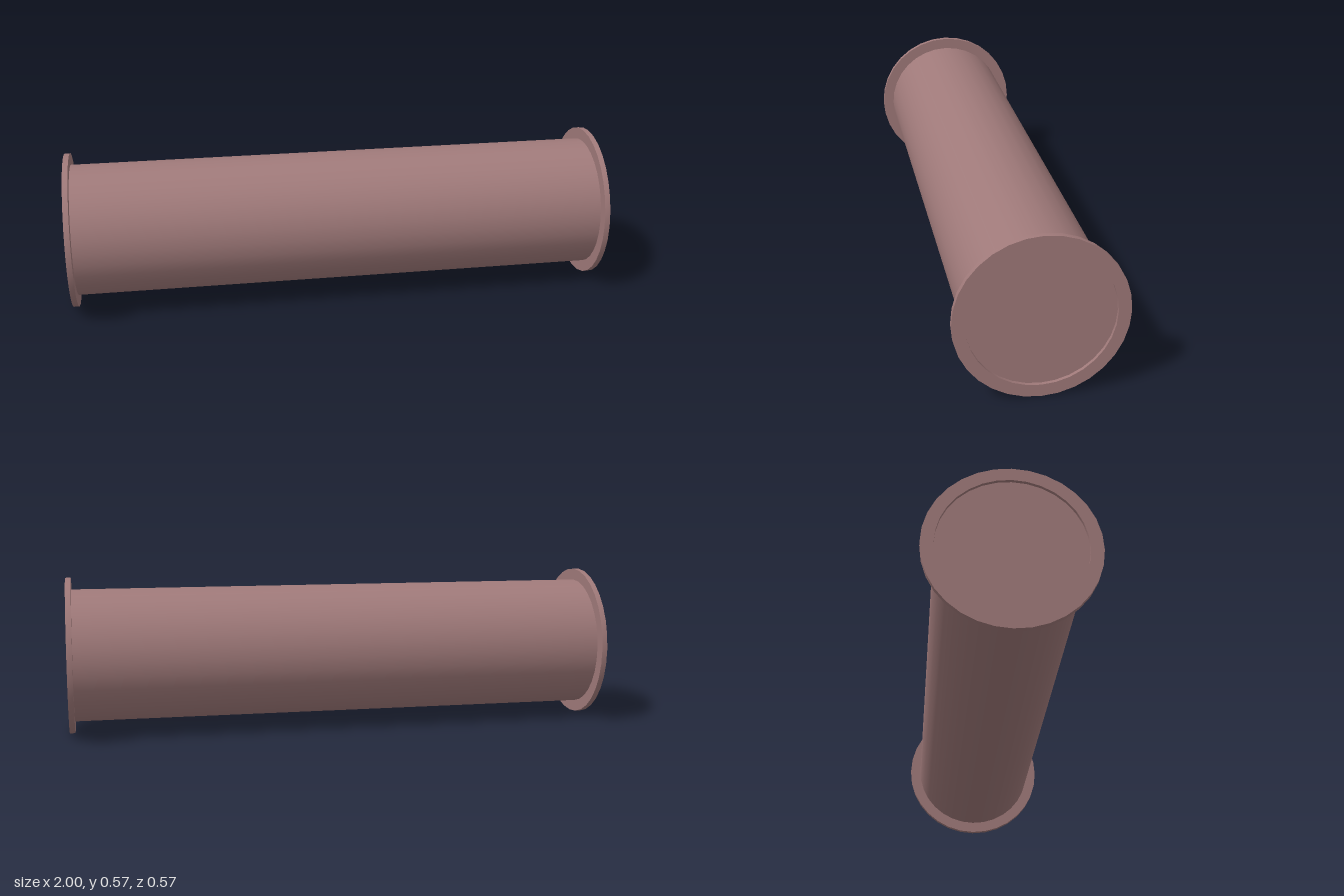
import * as THREE from 'three';
import { toCreasedNormals } from 'three/addons/utils/BufferGeometryUtils.js';

const SIDES = 32;
const FLANGE_RADIUS = 0.286;
const TUBE_RADIUS = 0.243;
const FLANGE_WIDTH = 0.02;
const RECESS = 0.012;

export function createModel() {
  const group = new THREE.Group();
  const material = new THREE.MeshStandardMaterial({ color: 0xa07a7a });

  const add = (geometry, name) => {
    geometry.rotateZ(-Math.PI / 2); // lay the axis along x
    const mesh = new THREE.Mesh(geometry, material);
    mesh.name = name;
    mesh.position.y = FLANGE_RADIUS;
    group.add(mesh);
    return mesh;
  };

  // Closed barrel, ending slightly inside the flanges
  add(new THREE.CylinderGeometry(TUBE_RADIUS, TUBE_RADIUS, 2 * (1 - RECESS), SIDES), 'barrel');

  // Ring flange at each end, its rim standing proud of the end cap
  const profile = [
    [TUBE_RADIUS, 1 - FLANGE_WIDTH],
    [FLANGE_RADIUS, 1 - FLANGE_WIDTH],
    [FLANGE_RADIUS, 1],
    [TUBE_RADIUS, 1],
    [TUBE_RADIUS, 1 - FLANGE_WIDTH],
  ].map(([r, h]) => new THREE.Vector2(r, h));

  for (const [name, turn] of [['leftFlange', 0], ['rightFlange', Math.PI]]) {
    const ring = toCreasedNormals(new THREE.LatheGeometry(profile, SIDES), 0.6);
    add(ring, name).rotation.y = turn;
  }

  return group;
}
